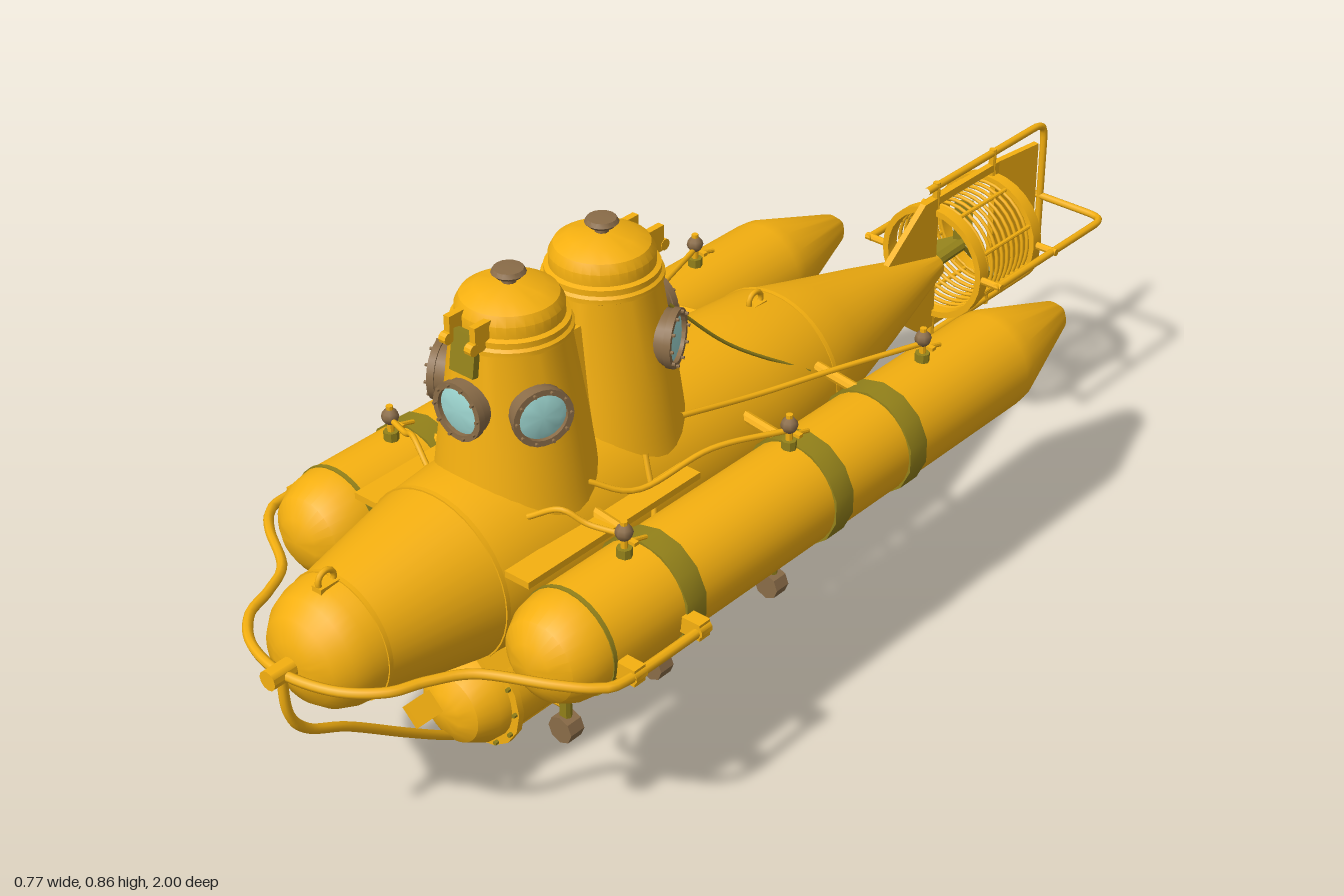
import * as THREE from 'three';
import { toCreasedNormals } from 'three/addons/utils/BufferGeometryUtils.js';

const paint = (color, extra = {}) => new THREE.MeshStandardMaterial({ color, ...extra });
const YELLOW = paint(0xf5b010), OLIVE = paint(0x94821a), BROWN = paint(0x8a6c48), GLASS = paint(0x9fd8d2);
const V = (x, y, z) => new THREE.Vector3(x, y, z);

function add(parent, name, geo, mat, x = 0, y = 0, z = 0) {
  const mesh = new THREE.Mesh(geo, mat);
  mesh.name = name;
  mesh.position.set(x, y, z);
  parent.add(mesh);
  return mesh;
}
// Turned body; profile points are [radius, height], rising
const turned = (pts, seg = 32) =>
  toCreasedNormals(new THREE.LatheGeometry(pts.map(p => new THREE.Vector2(...p)), seg), 0.5);
// Turned body lying along z
const turnedZ = (pts, seg) => turned(pts, seg).rotateX(Math.PI / 2);
const box = (w, h, d) => new THREE.BoxGeometry(w, h, d);
const cyl = (r, h, seg = 10, r2 = r) => toCreasedNormals(new THREE.CylinderGeometry(r, r2, h, seg), 0.7);
const cylZ = (r, h, seg) => cyl(r, h, seg).rotateX(Math.PI / 2);
// Open band with thickness, lying along z
const bandZ = (ro, ri, len, seg = 24) =>
  turnedZ([[ri, -len / 2], [ro, -len / 2], [ro, len / 2], [ri, len / 2], [ri, -len / 2]], seg);
const pipe = (pts, r, seg = 48, tension = 0.5) => new THREE.TubeGeometry(
  new THREE.CatmullRomCurve3(pts.map(p => V(...p)), false, 'catmullrom', tension), seg, r, 8);
// Straight rod between two points
function rod(parent, name, a, b, r, mat = YELLOW) {
  const p = V(...a), q = V(...b), dir = q.clone().sub(p);
  const m = add(parent, name, cyl(r, dir.length(), 8), mat, ...p.clone().add(q).multiplyScalar(0.5));
  m.quaternion.setFromUnitVectors(V(0, 1, 0), dir.normalize());
  return m;
}

function buildHull(g) {
  const hull = new THREE.Group();
  hull.name = 'hull';
  g.add(hull);
  add(hull, 'hullBody', turnedZ([[0, -0.66], [0.022, -0.655], [0.045, -0.57], [0.08, -0.44], [0.12, -0.28],
    [0.146, -0.18], [0.158, -0.02], [0.161, 0.2], [0.161, 0.45], [0.157, 0.55], [0.149, 0.64], [0.108, 0.85],
    [0.105, 0.88], [0.094, 0.91], [0.073, 0.935], [0.04, 0.95], [0, 0.955]], 40), YELLOW, 0, 0.39);
  for (const [z, r] of [[0.64, 0.151], [-0.18, 0.148], [0.85, 0.11]])
    add(hull, 'hullSeam', bandZ(r, r - 0.01, 0.008, 40), YELLOW, 0, 0.39, z);
  // Lifting eyes and deck fittings
  for (const [y, z] of [[0.505, 0.87], [0.545, -0.13]]) {
    add(hull, 'liftingEye', new THREE.TorusGeometry(0.016, 0.005, 8, 16).rotateY(Math.PI / 2), YELLOW, 0, y, z);
    add(hull, 'eyeBase', box(0.02, 0.02, 0.04), YELLOW, 0, y - 0.015, z);
  }
  for (const s of [-1, 1]) {
    add(hull, 'sidePlatform', box(0.05, 0.012, 0.4), YELLOW, s * 0.165, 0.452, 0.435);
    for (const z of [-0.14, 0.06, 0.43]) {
      rod(hull, 'upperStrut', [s * 0.13, 0.46, z], [s * 0.24, 0.445, z], 0.01);
      rod(hull, 'lowerStrut', [s * 0.12, 0.3, z], [s * 0.24, 0.29, z], 0.01);
    }
    for (const z of [0.2, 0.5, 0.62, 0.78]) {
      const lug = add(hull, 'bellyLug', box(0.012, 0.04, 0.05), YELLOW, s * 0.095, 0.255, z);
      lug.rotation.z = s * 0.8;
    }
  }
}

function buildTower(g, z, dir) {
  const t = new THREE.Group();
  t.name = dir > 0 ? 'frontTower' : 'rearTower';
  t.position.z = z;
  t.rotation.y = dir > 0 ? 0 : Math.PI;
  g.add(t);
  add(t, 'towerBody', turned([[0.142, 0.43], [0.13, 0.51], [0.118, 0.6], [0.094, 0.757], [0.099, 0.76], [0.099, 0.768],
    [0.094, 0.772], [0.094, 0.782], [0.086, 0.785], [0.086, 0.805], [0.078, 0.82], [0.055, 0.833], [0, 0.84]], 36), YELLOW);
  add(t, 'hatchStem', cyl(0.012, 0.03), BROWN, 0, 0.845);
  add(t, 'hatchKnob', turned([[0, 0.848], [0.022, 0.849], [0.028, 0.855], [0.024, 0.862], [0, 0.864]], 16), BROWN);
  // Hatch hinge
  add(t, 'hingePlate', box(0.05, 0.07, 0.012), OLIVE, 0, 0.757, 0.1).rotation.x = -0.15;
  for (const s of [-1, 1]) {
    add(t, 'hingeArm', box(0.012, 0.045, 0.035), YELLOW, s * 0.027, 0.792, 0.092);
    add(t, 'hingePin', cyl(0.01, 0.014).rotateZ(Math.PI / 2), YELLOW, s * 0.027, 0.778, 0.112);
  }
  // Portholes with bolted rims
  for (const a of [-1.15, 0, 1.15]) {
    const p = new THREE.Group();
    p.name = 'porthole';
    p.position.y = 0.662;
    p.rotation.y = a;
    t.add(p);
    add(p, 'portBarrel', cylZ(0.047, 0.05, 24), BROWN, 0, 0, 0.09);
    add(p, 'portRim', bandZ(0.05, 0.04, 0.012), BROWN, 0, 0, 0.119);
    add(p, 'portGlass', turnedZ([[0.042, 0], [0.03, 0.004], [0, 0.006]], 24), GLASS, 0, 0, 0.117);
    for (let i = 0; i < 10; i++) {
      const b = i * Math.PI / 5;
      add(p, 'rimBolt', cylZ(0.003, 0.006, 6), BROWN, 0.045 * Math.cos(b), 0.045 * Math.sin(b), 0.127);
    }
  }
}

function buildSideTank(g, s) {
  const t = new THREE.Group();
  t.name = s > 0 ? 'leftTank' : 'rightTank';
  t.position.set(s * 0.255, 0.37, 0);
  g.add(t);
  add(t, 'tankBody', turnedZ([[0, -0.695], [0.014, -0.69], [0.03, -0.67], [0.09, -0.485], [0.092, -0.46], [0.092, 0.62],
    [0.086, 0.655], [0.07, 0.685], [0.04, 0.705], [0, 0.712]], 28), YELLOW);
  add(t, 'noseSeam', bandZ(0.094, 0.085, 0.008, 28), OLIVE, 0, 0, 0.615);
  for (const z of [-0.14, 0.06, 0.43]) add(t, 'tankStrap', bandZ(0.097, 0.088, 0.045, 14), OLIVE, 0, 0, z);
  // Top valves
  for (const z of [0.49, 0.09, -0.27]) {
    add(t, 'valveBase', cyl(0.013, 0.02, 8), OLIVE, 0, 0.097, z);
    add(t, 'valveStem', cyl(0.006, 0.06, 8), YELLOW, 0, 0.125, z);
    add(t, 'valveKnob', new THREE.SphereGeometry(0.015, 8, 6), BROWN, 0, 0.135, z);
    add(t, 'valveHandle', box(0.034, 0.006, 0.01), YELLOW, 0, 0.115, z - 0.01);
    rod(t, 'valveLever', [0, 0.115, z], [0, 0.1, z - 0.05], 0.004);
  }
  // Bottom drain valves
  for (const z of [0.63, 0.42, 0.13]) {
    add(t, 'drainStem', cyl(0.01, 0.07, 8), OLIVE, 0, -0.11, z);
    add(t, 'drainKnob', cylZ(0.024, 0.03, 8), BROWN, 0, -0.155, z);
    add(t, 'drainPipe', pipe([[0, -0.115, z], [s * 0.03, -0.115, z], [s * 0.08, -0.112, z], [s * 0.1, -0.1, z - 0.02]]
      .map(([x, y, w]) => [-x, y, w]), 0.007, 12), YELLOW);
  }
}

function buildLowerTank(g) {
  const t = new THREE.Group();
  t.name = 'lowerTank';
  t.position.y = 0.12;
  g.add(t);
  add(t, 'lowerBody', turnedZ([[0, -0.27], [0.03, -0.265], [0.034, -0.24], [0.08, -0.11], [0.096, -0.1], [0.096, -0.065],
    [0.084, -0.06], [0.084, 0.56], [0.08, 0.6], [0.062, 0.633], [0.035, 0.65], [0, 0.655]], 28), YELLOW);
  add(t, 'frontFlange', bandZ(0.098, 0.08, 0.012, 16), YELLOW, 0, 0, 0.57);
  for (let i = 0; i < 12; i++) {
    const a = i * Math.PI / 6;
    for (const z of [0.578, -0.062])
      add(t, 'flangeBolt', cylZ(0.004, 0.01, 6), OLIVE, 0.091 * Math.cos(a), 0.091 * Math.sin(a), z);
  }
  for (const s of [-1, 1]) add(t, 'sideRail', box(0.03, 0.008, 0.5), YELLOW, s * 0.095, 0.005, 0.25);
  // Keel skid with cross plates
  add(t, 'keel', box(0.016, 0.05, 0.44), YELLOW, 0, -0.095, 0.31);
  for (let i = 0; i < 7; i++) add(t, 'keelRivet', cyl(0.004, 0.022, 6).rotateZ(Math.PI / 2), OLIVE, 0, -0.11, 0.13 + i * 0.06);
  // Saddles to the hull
  for (const s of [-1, 1]) for (const z of [0.52, 0.34, 0.02, -0.03])
    add(t, 'mountPost', box(0.016, 0.1, 0.03), z > 0.1 ? OLIVE : YELLOW, s * 0.032, 0.105, z);
  for (const z of [0.52, 0.34, 0]) add(t, 'mountPlate', box(0.085, 0.012, 0.08), YELLOW, 0, 0.085, z);
}

function buildTail(g) {
  const t = new THREE.Group();
  t.name = 'tail';
  t.position.y = 0.4;
  g.add(t);
  // Fin plate framing the propeller cage; shape drawn as (-z, y)
  const fin = new THREE.Shape([[0.5, 0.05], [0.61, 0.135], [0.85, 0.135], [0.85, -0.135], [0.61, -0.135], [0.5, -0.05]]
    .map(p => new THREE.Vector2(...p)));
  fin.holes.push(new THREE.Path([[0.65, -0.12], [0.83, -0.12], [0.83, 0.12], [0.65, 0.12]].map(p => new THREE.Vector2(...p))));
  add(t, 'finPlate', new THREE.ExtrudeGeometry(fin, { depth: 0.012, bevelEnabled: false })
    .translate(0, 0, -0.006).rotateY(Math.PI / 2), YELLOW);
  const rudder = add(t, 'rudder', box(0.012, 0.27, 0.11).translate(0, 0, -0.055), YELLOW, 0, 0, -0.84);
  rudder.rotation.y = -0.12;
  // Coiled propeller cage between two rims
  for (const z of [-0.655, -0.825]) add(t, 'cageRim', bandZ(0.112, 0.1, 0.024, 28), YELLOW, 0, 0, z);
  const coil = [];
  for (let i = 0; i <= 160; i++) {
    const a = i * Math.PI / 8;
    coil.push([0.103 * Math.cos(a), 0.103 * Math.sin(a), -0.66 - 0.16 * i / 160]);
  }
  add(t, 'cageCoil', pipe(coil, 0.0035, 320), YELLOW);
  for (let i = 0; i < 8; i++) {
    const a = (i + 0.5) * Math.PI / 4, x = 0.106 * Math.cos(a), y = 0.106 * Math.sin(a);
    rod(t, 'cageBar', [x, y, -0.65], [x, y, -0.83], 0.004);
  }
  // Propeller on its shaft
  rod(t, 'propShaft', [0, -0.005, -0.62], [0, 0, -0.76], 0.012, OLIVE);
  for (let i = 0; i < 3; i++) {
    const blade = add(t, 'propBlade', box(0.035, 0.08, 0.006).translate(0, 0.05, 0).rotateY(0.6), OLIVE, 0, 0, -0.74);
    blade.rotation.z = i * Math.PI * 2 / 3;
  }
  // Upright and flat guard loops, each with its stays
  const loop = (r, z0) => [[r, z0], [r, -0.8], [r, -0.965], [r - 0.008, -0.988], [r - 0.03, -0.994], [0, -0.994],
    [0.03 - r, -0.994], [0.008 - r, -0.988], [-r, -0.965], [-r, -0.8], [-r, z0]];
  add(t, 'uprightGuard', pipe(loop(0.157, -0.62).map(([r, z]) => [0, r, z]), 0.007, 90, 0.2), YELLOW);
  add(t, 'flatGuard', pipe(loop(0.147, -0.64).map(([r, z]) => [r, 0, z]), 0.007, 90, 0.2), YELLOW);
  for (const s of [-1, 1]) for (const z of [-0.65, -0.825]) {
    rod(t, 'sideStay', [s * 0.108, 0, z], [s * 0.155, 0, z], 0.007);
    rod(t, 'uprightStay', [0, s * 0.105, z], [0, s * 0.165, z], 0.007);
  }
}

function buildBumper(g) {
  const half = [[0.375, 0.355, 0.44], [0.377, 0.36, 0.62], [0.36, 0.364, 0.67], [0.31, 0.372, 0.715], [0.215, 0.38, 0.775],
    [0.175, 0.384, 0.84], [0.15, 0.386, 0.9], [0.09, 0.388, 0.95]];
  const mirrored = half.map(([x, y, z]) => [-x, y, z]).reverse();
  add(g, 'frontBumper', pipe([...half, [0, 0.39, 0.972], ...mirrored], 0.0085, 100), YELLOW);
  add(g, 'stemGuard', pipe([[0, 0.39, 0.972], [0, 0.31, 0.965], [0, 0.26, 0.93], [0, 0.215, 0.85], [0, 0.13, 0.73],
    [0, 0.07, 0.64], [0, 0.055, 0.6]], 0.0085, 50), YELLOW);
  add(g, 'bumperJoint', cylZ(0.017, 0.05, 12), YELLOW, 0, 0.39, 0.974);
  for (const s of [-1, 1]) for (const z of [0.45, 0.6]) {
    add(g, 'bumperBracket', box(0.05, 0.03, 0.025), YELLOW, s * 0.358, 0.358, z);
    add(g, 'bumperClamp', cylZ(0.013, 0.025, 10), YELLOW, s * 0.375, 0.358, z);
  }
}

export function createModel() {
  const g = new THREE.Group();
  g.name = 'submarine';
  buildHull(g);
  buildTower(g, 0.46, 1);
  buildTower(g, 0.25, -1);
  // Web joining the towers
  add(g, 'towerWeb', cyl(0.052, 0.28, 4, 0.125).rotateY(Math.PI / 4), YELLOW, 0, 0.58, 0.355);
  buildLowerTank(g);
  buildTail(g);
  buildBumper(g);
  for (const s of [-1, 1]) {
    buildSideTank(g, s);
    // Hoses and stay wires from the towers
    const hoses = [
      [[0.11, 0.5, 0.55], [0.16, 0.525, 0.53], [0.2, 0.505, 0.51], [0.255, 0.5, 0.49]],
      [[0.12, 0.51, 0.43], [0.17, 0.48, 0.36], [0.2, 0.5, 0.22], [0.255, 0.495, 0.09]],
      [[0.12, 0.52, 0.2], [0.15, 0.5, 0.05], [0.2, 0.5, -0.1], [0.255, 0.495, -0.27]],
      [[0.13, 0.5, 0.3], [0.165, 0.4, 0.32], [0.16, 0.3, 0.36], [0.19, 0.26, 0.42]]];
    for (const h of hoses) add(g, 'hose', pipe(h.map(([x, y, z]) => [s * x, y, z]), 0.005, 24), YELLOW);
    add(g, 'stayWire', pipe([[s * 0.05, 0.68, 0.15], [s * 0.08, 0.56, 0.03], [s * 0.13, 0.46, -0.12]], 0.003, 16), OLIVE);
  }
  return g;
}
